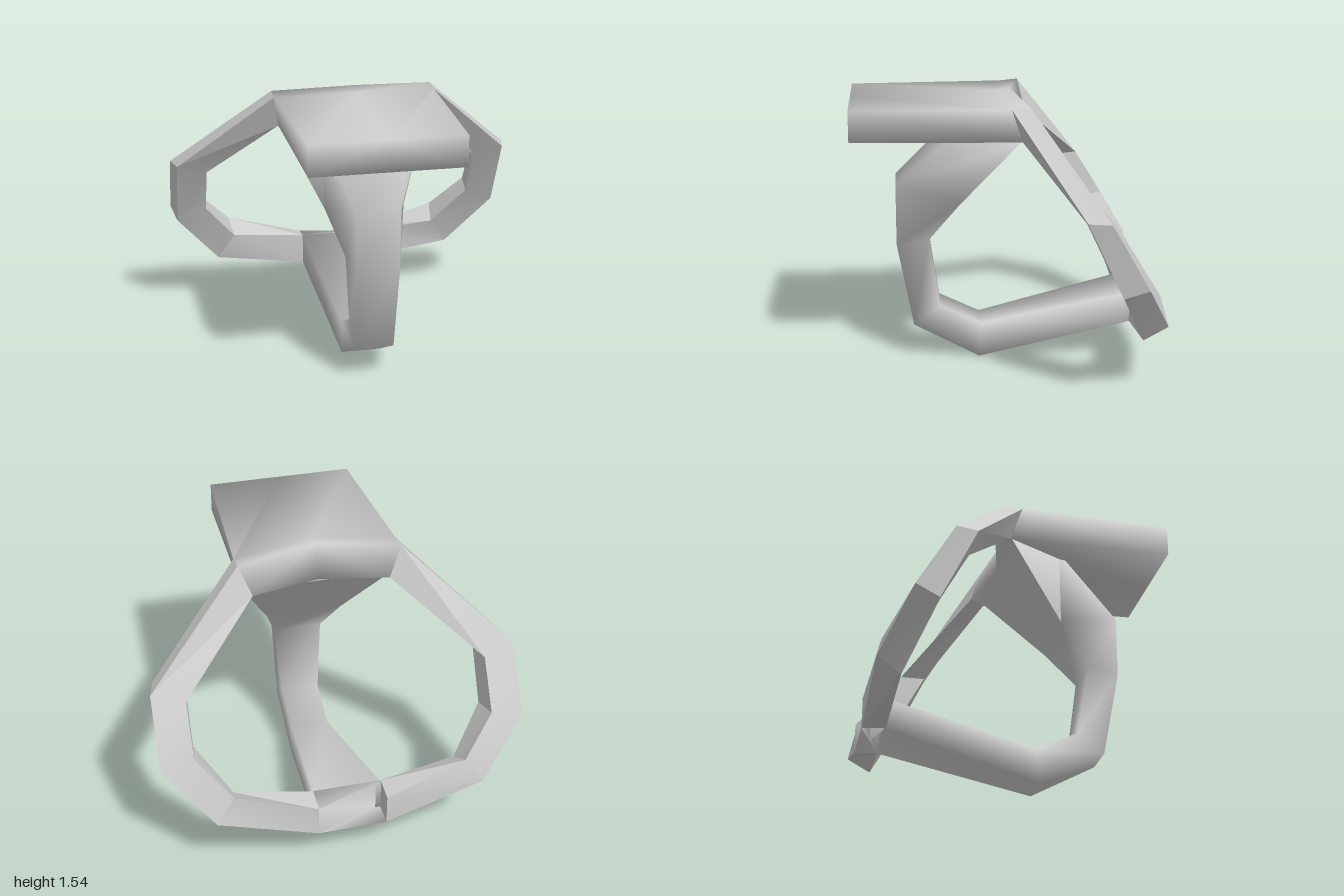
import * as THREE from 'three';
import { toCreasedNormals } from 'three/addons/utils/BufferGeometryUtils.js';

const material = new THREE.MeshStandardMaterial({ color: 0xcccccc });

// Skins a row of cross-sections (corners right-handed about the travel direction) and caps both ends.
function loft(name, sections, crease) {
  const n = sections[0].length, last = (sections.length - 1) * n, index = [];
  for (let i = 0; i < last; i += n) {
    for (let j = 0; j < n; j++) {
      const k = (j + 1) % n;
      index.push(i + j, i + k, i + n + k, i + j, i + n + k, i + n + j);
    }
  }
  for (let j = 1; j < n - 1; j++) {
    index.push(0, j + 1, j, last, last + j, last + j + 1);
  }
  const geometry = new THREE.BufferGeometry();
  geometry.setAttribute('position', new THREE.Float32BufferAttribute(sections.flat(2), 3));
  geometry.setIndex(index);
  const mesh = new THREE.Mesh(toCreasedNormals(geometry, crease), material);
  mesh.name = name;
  return mesh;
}

const mirror = (section) => section.map(([x, y, z]) => [-x, y, z]).reverse();

export function createModel() {
  const model = new THREE.Group();
  const sharp = 0.3, smooth = 1.9;

  // Ring halves: corners are outer front, inner front, inner back, outer back
  const ring = [
    [[0.45, 1.5, -0.02], [0.42, 1.32, -0.08], [0.38, 1.34, -0.16], [0.45, 1.51, -0.12]],
    [[0.97, 1.02, -0.36], [0.8, 0.97, -0.38], [0.82, 0.98, -0.52], [1.0, 1.02, -0.48]],
    [[0.97, 0.62, -0.55], [0.8, 0.69, -0.53], [0.82, 0.72, -0.68], [1.0, 0.67, -0.68]],
    [[0.72, 0.3, -0.7], [0.62, 0.45, -0.67], [0.64, 0.52, -0.8], [0.74, 0.38, -0.83]],
    [[0.19, 0.22, -0.71], [0.19, 0.4, -0.71], [0.19, 0.38, -0.84], [0.19, 0.21, -0.84]],
  ];
  model.add(loft('ringLeft', ring, sharp));
  model.add(loft('ringRight', ring.map(mirror), sharp));

  // Short block closing the ring at the bottom
  model.add(loft('rearJoint', [ring[4], mirror(ring[4])], smooth));

  // Platform: a slab with a slight ridge, notched along its back edge
  const slab = (top, bottom, topMid, bottomMid) => [
    [0, ...topMid], [-top[0], top[1], top[2]], [-bottom[0], bottom[1], bottom[2]],
    [0, ...bottomMid], bottom, top,
  ];
  model.add(loft('platform', [
    slab([0.45, 1.51, -0.12], [0.38, 1.34, -0.16], [1.54, -0.04], [1.34, -0.08]),
    slab([0.45, 1.5, -0.02], [0.42, 1.32, -0.08], [1.525, 0.05], [1.32, 0]),
    slab([0.41, 1.5, 0.84], [0.41, 1.33, 0.84], [1.5, 0.84], [1.33, 0.84]),
  ], smooth));

  // Curved strut from the platform round to the ring: [half width, y, z] of inner and outer edge
  const strut = [
    [[0.42, 1.33, -0.08], [0.24, 1.36, 0.24]],
    [[0.22, 0.93, 0.25], [0.12, 1.03, 0.6]],
    [[0.14, 0.71, 0.42], [0.12, 0.68, 0.6]],
    [[0.11, 0.31, 0.36], [0.11, 0.2, 0.51]],
    [[0.11, 0.2, 0.13], [0.11, 0, 0.14]],
    [[0.19, 0.39, -0.72], [0.19, 0.22, -0.72]],
  ].map(([inner, outer]) => [inner, outer, ...mirror([inner, outer])]);
  model.add(loft('strut', strut, smooth));

  return model;
}
